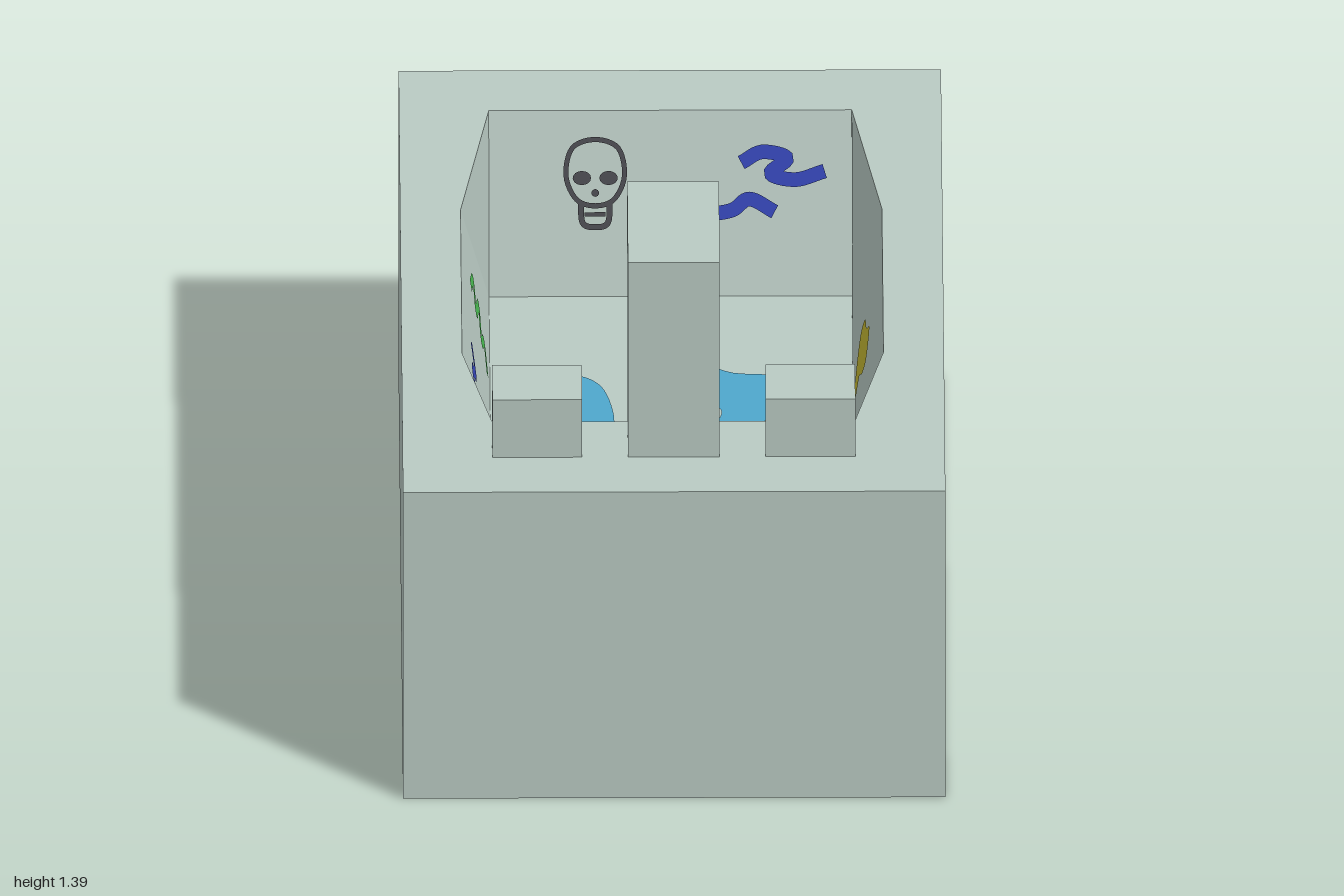
import * as THREE from 'three';

const RIM = 0.85, FLOOR = 0.415, DEPTH = RIM - FLOOR;
const HALF = 0.435, BULGE = 0.07, FRONT = 0.665;

function material(name, color, side = THREE.FrontSide) {
  const m = new THREE.MeshStandardMaterial({ color, side });
  m.name = name;
  return m;
}

// Smooth curve through a few 2D points
function curve(points, closed, tension = 0.5) {
  const c = new THREE.CatmullRomCurve3(
    points.map(([u, v]) => new THREE.Vector3(u, v, 0)), closed, 'catmullrom', tension);
  return c.getPoints(points.length * 6).map(p => new THREE.Vector2(p.x, p.y));
}

// Filled patch
const blob = points => new THREE.ShapeGeometry(new THREE.Shape(curve(points, true).slice(0, -1)));

// Painted line of constant width
function stroke(points, width, closed = false) {
  const line = curve(points, closed), pos = [], index = [], n = line.length;
  line.forEach((p, i) => {
    const a = line[i > 0 ? i - 1 : closed ? n - 2 : 0];
    const b = line[i < n - 1 ? i + 1 : closed ? 1 : n - 1];
    const d = b.clone().sub(a).normalize().multiplyScalar(width / 2);
    pos.push(p.x - d.y, p.y + d.x, 0, p.x + d.y, p.y - d.x, 0);
    if (i) index.push(2 * i - 2, 2 * i - 1, 2 * i, 2 * i, 2 * i - 1, 2 * i + 1);
  });
  const g = new THREE.BufferGeometry();
  g.setAttribute('position', new THREE.Float32BufferAttribute(pos, 3));
  g.setIndex(index);
  return g;
}

function dot(u, v, r, sy = 1) {
  return new THREE.CircleGeometry(r, 16).scale(1, sy, 1).translate(u, v, 0);
}

// Placement of flat paint on each inner face
const height = y => (y - FLOOR) / DEPTH;
const onFloor = (x, z) => [x, FLOOR + 0.004, z];
const onFront = (x, y) => [x, y, FRONT - 0.005];
const onBack = (x, y) => [x, y, -0.67 - 0.14 * height(y) + 0.006];
const onLeft = (z, y) =>
  [HALF + BULGE * Math.min(height(y), 1 - Math.max(0, (z - 0.34) / 0.325)) - 0.006, y, z];
const onRight = (z, y) =>
  [-HALF - BULGE * Math.max(0, height(y) - Math.max(0, (z - 0.34) / 0.325)) + 0.006, y, z];

export function createModel() {
  const group = new THREE.Group();
  const stone = material('pale stone', 0xb9cac3);
  const water = material('water blue', 0x4fa7cd, THREE.DoubleSide);
  const dark = material('charcoal', 0x4a494f, THREE.DoubleSide);
  const green = material('green paint', 0x48b850, THREE.DoubleSide);
  const yellow = material('yellow paint', 0xc5b834, THREE.DoubleSide);
  const blue = material('deep blue paint', 0x3545b4, THREE.DoubleSide);

  function add(name, geometry, mat) {
    const mesh = new THREE.Mesh(geometry, mat);
    mesh.name = name;
    group.add(mesh);
  }
  function box(name, x0, x1, y0, y1, z0, z1) {
    const g = new THREE.BoxGeometry(x1 - x0, y1 - y0, z1 - z0);
    add(name, g.translate((x0 + x1) / 2, (y0 + y1) / 2, (z0 + z1) / 2), stone);
  }
  function paint(name, mat, place, geometries) {
    for (const g of geometries) {
      const p = g.attributes.position;
      for (let i = 0; i < p.count; i++) p.setXYZ(i, ...place(p.getX(i), p.getY(i)));
      g.computeVertexNormals();
      add(name, g, mat);
    }
  }

  // Outer shell: box without its top face
  const shell = new THREE.BoxGeometry(1.3, RIM, 2).translate(0, RIM / 2, 0);
  shell.setIndex([...shell.index.array].filter((_, i) => i < 12 || i >= 18));
  shell.clearGroups();
  add('tubShell', shell, stone);

  // Basin outline at the rim and at the floor
  const side = [[HALF, -0.81, -0.67], [HALF + BULGE, -0.34, -0.34],
    [HALF + BULGE, 0.34, 0.34], [HALF, FRONT, FRONT]];
  const ring = [...side, ...side.map(([x, t, f]) => [-x, t, f]).reverse()];

  // Rim with the basin opening
  const rim = new THREE.Shape([[-0.65, -1], [0.65, -1], [0.65, 1], [-0.65, 1]]
    .map(p => new THREE.Vector2(...p)));
  rim.holes.push(new THREE.Path(ring.map(([x, z]) => new THREE.Vector2(x, -z))));
  add('rim', new THREE.ShapeGeometry(rim).rotateX(-Math.PI / 2).translate(0, RIM, 0), stone);

  // Sloping basin walls
  const walls = [];
  ring.forEach(([x, t, f], i) => {
    const [x2, t2, f2] = ring[(i + 1) % ring.length];
    const fx = Math.sign(x) * HALF, fx2 = Math.sign(x2) * HALF;
    walls.push(x, RIM, t, fx2, FLOOR, f2, x2, RIM, t2);
    walls.push(x, RIM, t, fx, FLOOR, f, fx2, FLOOR, f2);
  });
  const wallGeo = new THREE.BufferGeometry();
  wallGeo.setAttribute('position', new THREE.Float32BufferAttribute(walls, 3));
  wallGeo.computeVertexNormals();
  add('basinWalls', wallGeo, stone);

  const floorLength = FRONT + 0.67;
  add('basinFloor', new THREE.PlaneGeometry(2 * HALF, floorLength).rotateX(-Math.PI / 2)
    .translate(0, FLOOR, FRONT - floorLength / 2), stone);

  // Tap column, spout and the two handles
  box('tapColumn', -0.11, 0.11, RIM, 1.23, 0.67, 0.835);
  box('tapSpout', -0.11, 0.11, 1.23, 1.39, 0.45, 0.835);
  for (const s of [-1, 1]) {
    box('tapHandle', s * 0.3275 - 0.1075, s * 0.3275 + 0.1075, RIM, 1.01, 0.67, 0.835);
  }

  // Puddles and drain
  paint('puddle', water, onFloor, [
    blob([[-0.243, -0.286], [-0.17, -0.24], [-0.138, -0.09], [-0.148, 0.05], [-0.09, 0.15],
      [-0.116, 0.25], [-0.18, 0.275], [-0.233, 0.217], [-0.328, 0.08], [-0.333, -0.015],
      [-0.27, -0.09], [-0.317, -0.185]]),
    blob([[0.058, -0.349], [0.148, -0.3], [0.27, -0.28], [0.291, -0.185], [0.222, -0.07],
      [0.153, -0.016], [0.11, -0.053], [0.116, -0.13], [0.03, -0.2], [0, -0.29]]),
    blob([[0.03, 0.148], [0.11, 0.185], [0.206, 0.27], [0.212, 0.37], [0.138, 0.41],
      [0.058, 0.38], [-0.005, 0.29], [-0.02, 0.196]]),
  ]);
  paint('drain', dark, (x, z) => [x, FLOOR + 0.007, z], [dot(-0.007, 0.417, 0.068)]);

  // Eared face drawn on the front inner wall
  paint('earedFace', dark, onFront, [
    stroke([[0.19, 0.78], [0.1, 0.755], [0.03, 0.765], [-0.03, 0.755], [-0.117, 0.775],
      [-0.12, 0.7], [-0.105, 0.62], [-0.05, 0.575], [0.03, 0.565], [0.12, 0.545],
      [0.19, 0.57], [0.17, 0.63], [0.185, 0.7]], 0.026, true),
    blob([[0.05, 0.77], [0.045, 0.83], [0.03, 0.848], [0.015, 0.83], [0, 0.76]]),
    dot(0.117, 0.695, 0.01), dot(-0.06, 0.7, 0.01),
    stroke([[0.13, 0.56], [0.1, 0.6], [0.05, 0.59], [0.02, 0.56], [-0.02, 0.6],
      [-0.08, 0.6]], 0.02),
    stroke([[0.16, 0.53], [0.12, 0.49], [0.06, 0.5], [0, 0.48], [-0.06, 0.5],
      [-0.1, 0.57]], 0.04),
    stroke([[0.09, 0.48], [0.085, 0.44], [0.045, 0.425], [0.01, 0.44], [0, 0.48]], 0.022),
  ]);

  // Skull drawn on the back wall
  paint('skull', dark, onBack, [
    stroke([[-0.18, 0.785], [-0.235, 0.765], [-0.25, 0.7], [-0.225, 0.645], [-0.18, 0.63],
      [-0.135, 0.645], [-0.11, 0.7], [-0.125, 0.765]], 0.012, true),
    dot(-0.212, 0.695, 0.022, 0.75), dot(-0.148, 0.695, 0.022, 0.75),
    dot(-0.18, 0.66, 0.009),
    stroke([[-0.215, 0.64], [-0.21, 0.59], [-0.18, 0.58], [-0.15, 0.59], [-0.145, 0.64]], 0.014),
    stroke([[-0.205, 0.61], [-0.155, 0.61]], 0.01),
  ]);

  // Scribbles on the back and side walls
  paint('blueScribble', blue, onBack, [
    stroke([[0.17, 0.73], [0.22, 0.755], [0.28, 0.74], [0.24, 0.705], [0.3, 0.69], [0.37, 0.71]], 0.034),
    stroke([[0.1, 0.61], [0.15, 0.62], [0.19, 0.645], [0.25, 0.615]], 0.034),
  ]);
  paint('blueScribble', blue, onRight, [
    stroke([[0.1, 0.74], [0.15, 0.68], [0.2, 0.72], [0.25, 0.64], [0.32, 0.66], [0.38, 0.58],
      [0.48, 0.57]], 0.035),
  ]);
  paint('greenScribble', green, onRight, [
    stroke([[-0.17, 0.74], [-0.26, 0.7], [-0.18, 0.66], [-0.28, 0.62], [-0.18, 0.58],
      [-0.24, 0.54], [-0.17, 0.49]], 0.03),
  ]);
  paint('greenScribble', green, onLeft, [
    stroke([[0.47, 0.51], [0.4, 0.52], [0.34, 0.545], [0.285, 0.6], [0.29, 0.67], [0.33, 0.7],
      [0.39, 0.63], [0.44, 0.64], [0.5, 0.63], [0.54, 0.56]], 0.028),
  ]);
  paint('yellowPatch', yellow, onLeft, [
    blob([[-0.05, 0.69], [0.01, 0.64], [-0.02, 0.58], [-0.075, 0.54], [-0.07, 0.48],
      [-0.15, 0.485], [-0.225, 0.56], [-0.19, 0.63], [-0.115, 0.65]]),
  ]);

  return group;
}
